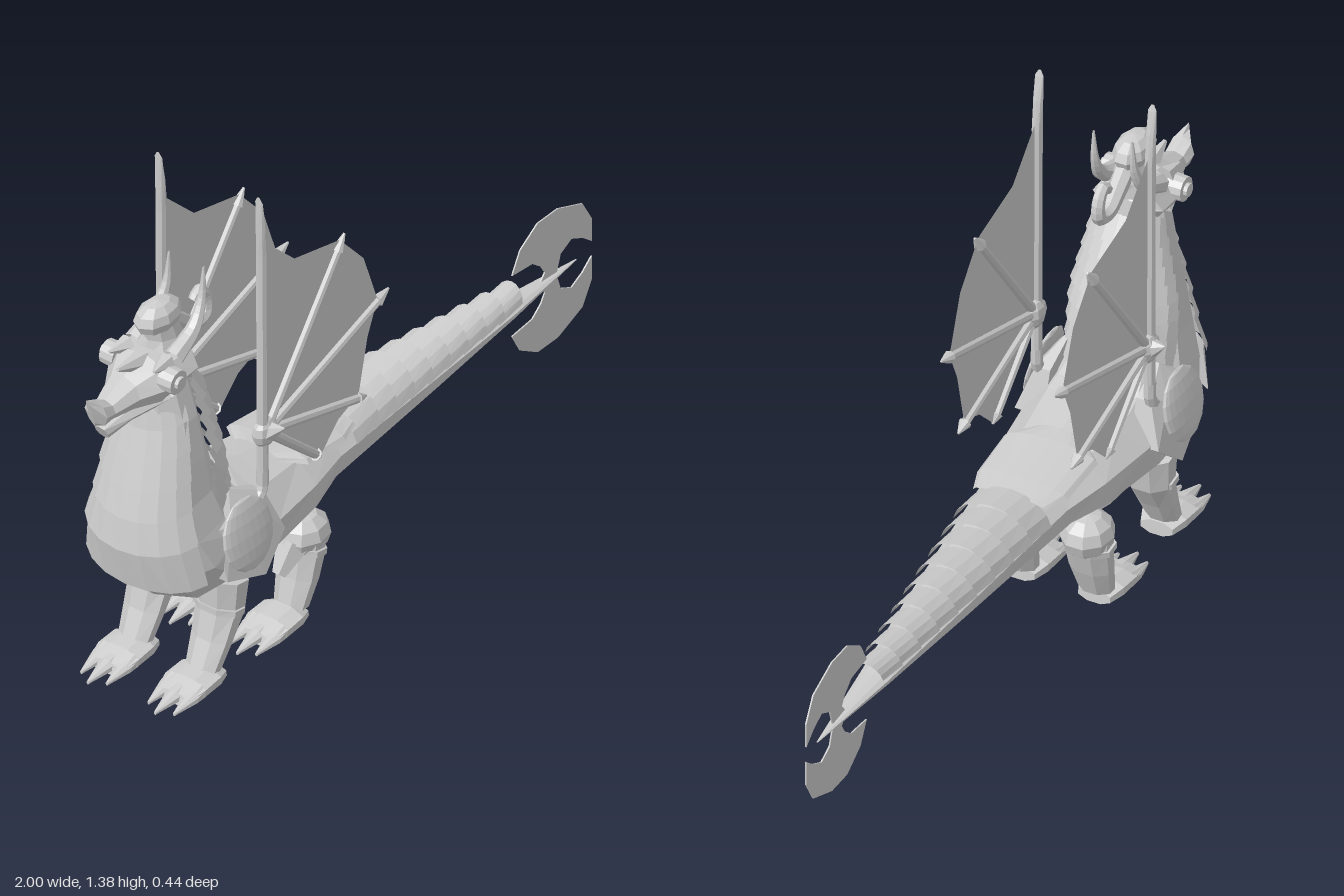
import * as THREE from 'three';
import { ConvexGeometry } from 'three/addons/geometries/ConvexGeometry.js';

const mat = new THREE.MeshStandardMaterial({ color: 0xcccccc, flatShading: true, side: THREE.DoubleSide });
const V = (x, y, z = 0) => new THREE.Vector3(x, y, z);
const lerp = THREE.MathUtils.lerp;
const FULL = Math.PI * 2;

function add(parent, name, geo) {
  const m = new THREE.Mesh(geo, mat);
  m.name = name;
  parent.add(m);
  return m;
}

// Skin over oval rings; ring = [lowX, lowY, highX, highY, halfWidth], drawn from angle a0 to a1 (0 = high point)
function loft(rings, n = 12, a0 = 0, a1 = FULL, z = 0) {
  const pos = [], idx = [];
  const list = rings.slice();
  if (a1 - a0 > 6.28) {
    const cap = r => [(r[0] + r[2]) / 2, (r[1] + r[3]) / 2, (r[0] + r[2]) / 2, (r[1] + r[3]) / 2, 0];
    list.unshift(cap(rings[0]));
    list.push(cap(rings[rings.length - 1]));
  }
  for (const [ax, ay, bx, by, w] of list) {
    for (let i = 0; i <= n; i++) {
      const a = a0 + (a1 - a0) * i / n, c = Math.cos(a) / 2;
      pos.push((ax + bx) / 2 + (bx - ax) * c, (ay + by) / 2 + (by - ay) * c, z + w * Math.sin(a));
    }
  }
  for (let r = 0; r < list.length - 1; r++) {
    for (let i = 0; i < n; i++) {
      const p = r * (n + 1) + i, q = p + n + 1;
      idx.push(p, p + 1, q, p + 1, q + 1, q);
    }
  }
  const g = new THREE.BufferGeometry();
  g.setAttribute('position', new THREE.Float32BufferAttribute(pos, 3));
  g.setIndex(idx);
  g.computeVertexNormals();
  return g;
}

// Tube along a curve whose radius goes from r0 to r1
function taper(points, r0, r1, segs = 12, sides = 7) {
  const curve = new THREE.CatmullRomCurve3(points);
  const g = new THREE.TubeGeometry(curve, segs, 1, sides);
  const p = g.attributes.position, v = V(0, 0);
  for (let i = 0; i < p.count; i++) {
    const t = Math.floor(i / (sides + 1)) / segs, c = curve.getPointAt(t);
    v.fromBufferAttribute(p, i).sub(c).multiplyScalar(r0 + (r1 - r0) * t).add(c);
    p.setXYZ(i, v.x, v.y, v.z);
  }
  return g;
}

// Straight round bar from a to b
function bar(parent, name, a, b, ra, rb, sides = 8) {
  const m = add(parent, name, new THREE.CylinderGeometry(rb, ra, a.distanceTo(b), sides));
  m.position.copy(a).lerp(b, 0.5);
  m.quaternion.setFromUnitVectors(V(0, 1), b.clone().sub(a).normalize());
}

const outline = points => new THREE.Shape(points.map(([x, y]) => new THREE.Vector2(x, y)));

function ball(parent, name, c, sx, sy, sz) {
  const m = add(parent, name, new THREE.SphereGeometry(1, 9, 6));
  m.position.copy(c);
  m.scale.set(sx, sy, sz);
}

function buildLeg(parent, name, x, s, hind) {
  const leg = new THREE.Group(), z = 0.105 * s, turn = Math.PI / 8;
  const part = (label, rings) => add(leg, label, loft(rings, 8, turn, turn + FULL, z));
  leg.name = name;
  parent.add(leg);
  if (hind) {
    ball(leg, 'thigh', V(x + 0.085, 0.23, z), 0.078, 0.06, 0.068);
    part('shin', [[x + 0.005, 0.04, x + 0.075, 0.04, 0.048], [x + 0.025, 0.12, x + 0.105, 0.115, 0.06],
      [x + 0.035, 0.19, x + 0.125, 0.18, 0.065], [x + 0.03, 0.23, x + 0.13, 0.23, 0.065]]);
    bar(leg, 'kneeGuard', V(x + 0.045, 0.215, z), V(x - 0.01, 0.15, z), 0.048, 0.02, 6);
  } else {
    part('shin', [[x - 0.02, 0.04, x + 0.05, 0.04, 0.048], [x + 0.015, 0.12, x + 0.085, 0.105, 0.058],
      [x + 0.035, 0.2, x + 0.135, 0.18, 0.065], [x + 0.03, 0.29, x + 0.15, 0.27, 0.072]]);
  }
  part('kneeBand', [[x + 0.028, 0.195, x + 0.125, 0.178, 0.072], [x + 0.028, 0.212, x + 0.13, 0.195, 0.072]]);
  // Wedge foot with three thick clawed toes
  part('foot', [[x + 0.055, 0, x + 0.05, 0.04, 0.048], [x + 0.01, 0, x + 0.01, 0.055, 0.066],
    [x - 0.06, 0, x - 0.05, 0.048, 0.068], [x - 0.11, 0, x - 0.1, 0.03, 0.055]]);
  for (const k of [-1, 0, 1]) {
    const reach = Math.abs(k) * 0.025;
    part('toe', [[x - 0.05, 0, x - 0.05, 0.044, 0.024], [x - 0.11 + reach, 0, x - 0.1 + reach, 0.034, 0.022], [x - 0.175 + reach, 0, x - 0.175 + reach, 0.01, 0.004]])
      .position.z = k * 0.04;
  }
}

function buildWing(parent, s) {
  const wing = new THREE.Group(), z = 0.157 * s, hub = V(-0.49, 0.67, z);
  wing.name = s > 0 ? 'leftWing' : 'rightWing';
  parent.add(wing);
  add(wing, 'membrane', new THREE.ShapeGeometry(outline([[-0.49, 0.66], [-0.49, 1.235], [-0.374, 1.123], [-0.195, 1.08], [-0.1, 0.973],
    [-0.045, 0.82], [-0.085, 0.727], [-0.12, 0.575], [-0.2, 0.545], [-0.27, 0.476]]))).position.z = z;
  bar(wing, 'mast', V(-0.5, 0.54, z), V(-0.503, 1.22, z), 0.015, 0.014);
  add(wing, 'mastFoot', taper([V(-0.5, 0.56, z), V(-0.505, 0.5, z), V(-0.56, 0.465, z)], 0.016, 0.016, 6));
  add(wing, 'mastTip', loft([[-0.518, 1.21, -0.487, 1.21, 0.014], [-0.518, 1.3, -0.497, 1.3, 0.014],
    [-0.518, 1.37, -0.51, 1.365, 0.012], [-0.518, 1.383, -0.515, 1.383, 0.004]], 8, 0, FULL, z));
  for (const [x, y] of [[-0.176, 1.09], [-0.001, 0.829], [-0.09, 0.556], [-0.27, 0.472]]) {
    const tip = V(x, y, z), neck = hub.clone().lerp(tip, 0.91);
    bar(wing, 'rib', hub, neck, 0.014, 0.012);
    bar(wing, 'ribTip', neck, tip, 0.017, 0.003);
  }
  ball(wing, 'hub', hub, 0.042, 0.042, 0.026);
  bar(wing, 'hubSpike', hub, V(-0.48, 0.695, 0.21 * s), 0.035, 0.002, 6);
}

// Faceted shoulder plate carrying a shallow disc, both leaning in at the top
function buildShoulder(parent, s) {
  const shoulder = new THREE.Group();
  shoulder.name = s > 0 ? 'leftShoulder' : 'rightShoulder';
  parent.add(shoulder);
  const rim = [[-0.69, 0.48, 0.16], [-0.6, 0.545, 0.13], [-0.5, 0.5, 0.16], [-0.465, 0.385, 0.2], [-0.56, 0.305, 0.216],
    [-0.68, 0.335, 0.19], [-0.65, 0.48, 0.178], [-0.55, 0.48, 0.18]];
  const points = rim.flatMap(([x, y, z]) => [V(x, y, z * s), V(x, y, 0.12 * s)]);
  add(shoulder, 'shoulderPlate', new ConvexGeometry(points));
  const dome = add(shoulder, 'shoulderDisc', new THREE.SphereGeometry(1, 20, 8));
  dome.scale.set(0.095, 0.097, 0.016);
  dome.position.set(-0.605, 0.442, 0.194 * s);
  dome.rotation.x = -0.23 * s;
}

export function createModel() {
  const g = new THREE.Group();
  g.name = 'dragon';

  // Neck, trunk and tail in one skin
  add(g, 'body', loft([[-0.8, 0.86, -0.66, 0.95, 0.09], [-0.8, 0.79, -0.64, 0.82, 0.112], [-0.83, 0.68, -0.61, 0.7, 0.13],
    [-0.86, 0.56, -0.58, 0.6, 0.145], [-0.87, 0.46, -0.54, 0.52, 0.168], [-0.835, 0.34, -0.49, 0.495, 0.188],
    [-0.73, 0.245, -0.45, 0.49, 0.194], [-0.57, 0.225, -0.4, 0.48, 0.186], [-0.28, 0.255, -0.28, 0.46, 0.16],
    [-0.18, 0.28, -0.12, 0.44, 0.125], [0.3, 0.302, 0.3, 0.39, 0.08], [0.65, 0.316, 0.65, 0.348, 0.04], [0.94, 0.325, 0.94, 0.328, 0.002]], 10));

  // Overlapping plates down the back of the neck and over the throat and chest
  for (let i = 0; i < 8; i++) {
    const ring = (t, f) => [lerp(-0.77, -0.8, t), lerp(0.86, 0.48, t), lerp(-0.655, -0.555, t) + f,
      lerp(0.94, 0.54, t) - f * 0.6, lerp(0.092, 0.143, Math.min(1, t * 1.8)) + f * 0.15];
    add(g, 'neckPlate', loft([ring(i / 8, 0.005), ring((i + 1) / 8, 0.045)], 10, -1.5, 1.5));
  }
  const throat = [[-0.8, 0.86, 0.085], [-0.805, 0.8, 0.105], [-0.825, 0.72, 0.12], [-0.845, 0.64, 0.132], [-0.863, 0.56, 0.143], [-0.873, 0.47, 0.165], [-0.84, 0.35, 0.182]];
  for (let i = 0; i < throat.length - 1; i++) {
    const ring = ([x, y, w], f) => [x - f, y - f, -0.62, y + 0.05, w + f];
    add(g, 'throatPlate', loft([ring(throat[i], 0), ring(throat[i + 1], 0.008)], 8, Math.PI - 1.4, Math.PI + 1.4));
  }

  // Saddle and tail plates, each lifted at its rear edge
  add(g, 'saddle', loft([[-0.33, 0.43, -0.33, 0.475, 0.07], [-0.28, 0.41, -0.28, 0.472, 0.13], [-0.13, 0.4, -0.13, 0.455, 0.125], [-0.06, 0.41, -0.06, 0.445, 0.1]], 8, -1.57, 1.57));
  for (let i = 0; i < 9; i++) {
    const ring = (t, f) => {
      const x = lerp(-0.07, 0.66, t);
      return [x, lerp(0.27, 0.3, t), x + f, lerp(0.455, 0.375, t) + f, lerp(0.115, 0.038, t) + f * 0.2];
    };
    add(g, 'tailPlate', loft([ring(i / 9, 0), ring((i + 1) / 9, 0.026)], 8, -1.4, 1.4));
  }

  // Double crescent at the tail end
  for (const s of [1, -1]) {
    const half = [[0.685, 0.091], [0.717, 0.15], [0.786, 0.193], [0.866, 0.193], [0.963, 0.155], [1, 0.091], [1, 0.022],
      [0.963, 0.052], [0.92, 0.073], [0.877, 0.052], [0.86, 0], [0.79, 0], [0.815, 0.03], [0.8, 0.055], [0.765, 0.083]];
    const blade = new THREE.ExtrudeGeometry(outline(half.map(([x, y]) => [x, 0.327 + y * s])), { depth: 0.004, bevelEnabled: false });
    add(g, 'tailBlade', blade).position.z = -0.002;
  }

  // Head
  const head = new THREE.Group();
  head.name = 'head';
  g.add(head);
  add(head, 'skull', loft([[-0.64, 0.92, -0.65, 0.97, 0.055], [-0.69, 0.88, -0.67, 1.0, 0.098], [-0.79, 0.865, -0.78, 1.0, 0.098],
    [-0.86, 0.875, -0.85, 0.965, 0.055], [-0.925, 0.88, -0.925, 0.935, 0.034], [-0.955, 0.875, -0.965, 0.955, 0.036], [-0.965, 0.877, -1, 0.975, 0.006]], 8));
  add(head, 'jaw', loft([[-0.76, 0.85, -0.76, 0.92, 0.08], [-0.86, 0.845, -0.87, 0.895, 0.045], [-0.925, 0.823, -0.95, 0.868, 0.02]], 8));
  bar(head, 'noseSpike', V(-0.78, 0.975), V(-0.875, 0.997), 0.03, 0.006, 6);
  add(head, 'crestBase', loft([[-0.77, 0.97, -0.64, 0.97, 0.07], [-0.755, 1.02, -0.64, 1.01, 0.045], [-0.76, 1.07, -0.66, 1.07, 0.036]], 8));
  ball(head, 'crest', V(-0.715, 1.075), 0.078, 0.045, 0.048);
  add(head, 'crestCurl', taper([V(-0.69, 1.06), V(-0.63, 1.01), V(-0.575, 0.972), V(-0.53, 0.982), V(-0.527, 1.03), V(-0.555, 1.06), V(-0.575, 1.04)], 0.028, 0.014, 20));
  for (const s of [1, -1]) {
    add(head, 'horn', taper([V(-0.73, 0.98, 0.06 * s), V(-0.65, 1.025, 0.06 * s), V(-0.612, 1.09, 0.055 * s), V(-0.603, 1.18, 0.054 * s)], 0.028, 0.003));
    bar(head, 'browSpike', V(-0.76, 0.985, 0.06 * s), V(-0.82, 0.99, 0.07 * s), 0.026, 0.004, 6);
    bar(head, 'eye', V(-0.775, 0.952, 0.07 * s), V(-0.775, 0.952, 0.112 * s), 0.035, 0.033, 12);
    bar(head, 'pupil', V(-0.775, 0.952, 0.11 * s), V(-0.775, 0.952, 0.122 * s), 0.018, 0.018, 10);

    buildShoulder(g, s);
    buildWing(g, s);
    buildLeg(g, s > 0 ? 'leftFrontLeg' : 'rightFrontLeg', -0.685, s, false);
    buildLeg(g, s > 0 ? 'leftHindLeg' : 'rightHindLeg', -0.36, s, true);
  }
  return g;
}
